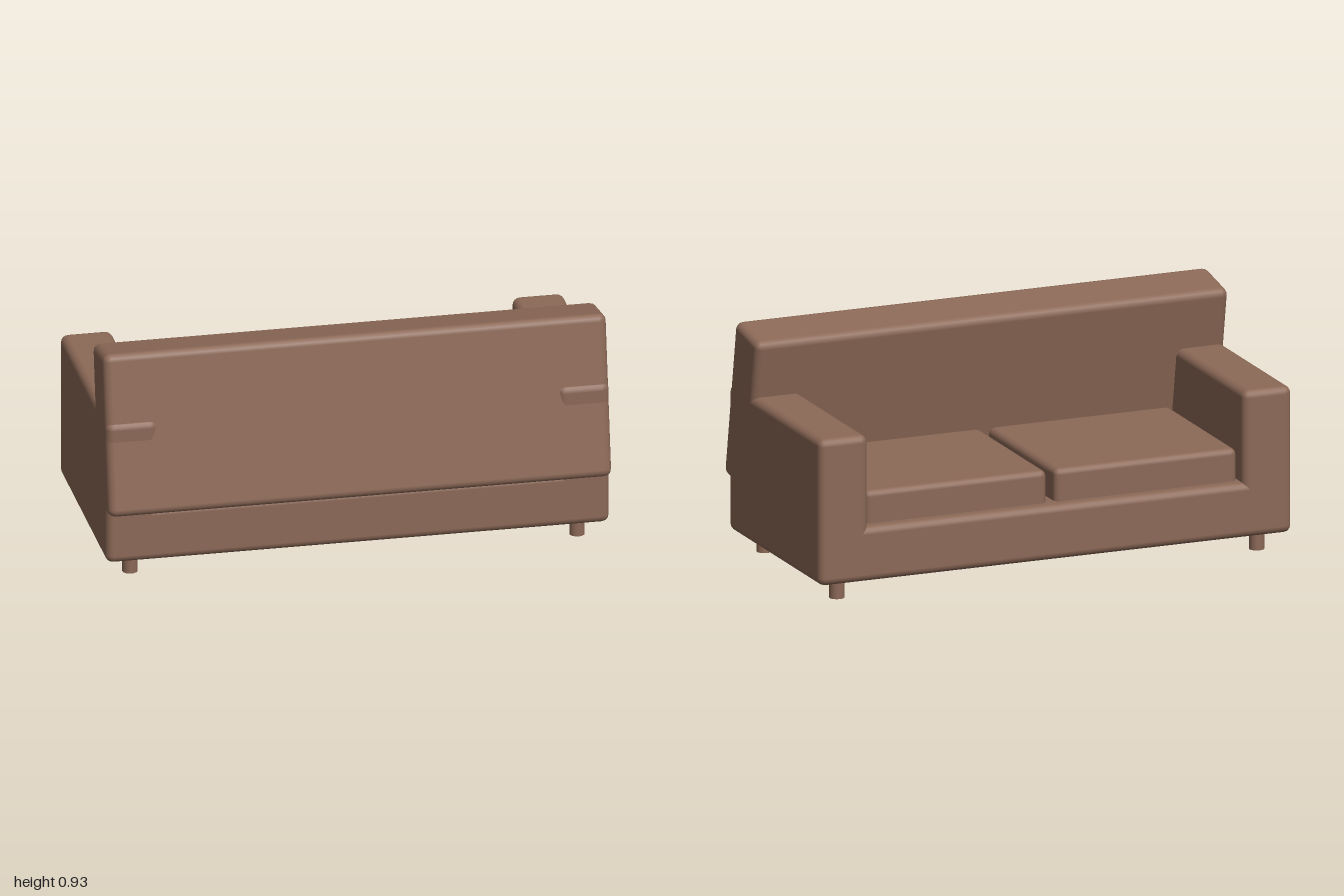
import * as THREE from 'three';
import { RoundedBoxGeometry } from 'three/addons/geometries/RoundedBoxGeometry.js';

export function createModel() {
  const sofa = new THREE.Group();
  sofa.name = 'sofa';

  const upholstery = new THREE.MeshStandardMaterial({ color: 0x8c6957 });
  upholstery.name = 'brown upholstery';

  // Padded block given by its size and centre
  function block(name, [w, h, d], [x, y, z], radius = 0.03) {
    const mesh = new THREE.Mesh(new RoundedBoxGeometry(w, h, d, 2, radius), upholstery);
    mesh.name = name;
    mesh.position.set(x, y, z);
    sofa.add(mesh);
    return mesh;
  }

  // Base
  block('base', [1.99, 0.22, 0.905], [0, 0.185, -0.0225]);

  // Backrest, leaning over the seat
  const backrest = block('backrest', [1.99, 0.651, 0.227], [0, 0.592, 0.314]);
  backrest.rotation.x = THREE.MathUtils.degToRad(-10);

  const legGeometry = new THREE.CylinderGeometry(0.03, 0.03, 0.1, 16);

  for (const [side, s] of [['left', 1], ['right', -1]]) {
    // Armrest, sunk slightly into the base
    block(side + 'Armrest', [0.205, 0.435, 0.905], [s * 0.8925, 0.4475, -0.0225]);

    // Seat cushion, reaching under the backrest
    block(side + 'Cushion', [0.767, 0.16, 0.67], [s * 0.4, 0.345, -0.09], 0.025);

    // Legs
    for (const [end, z] of [['Back', 0.335], ['Front', -0.38]]) {
      const leg = new THREE.Mesh(legGeometry, upholstery);
      leg.name = side + end + 'Leg';
      leg.position.set(s * 0.884, 0.05, z);
      sofa.add(leg);
    }
  }

  return sofa;
}
